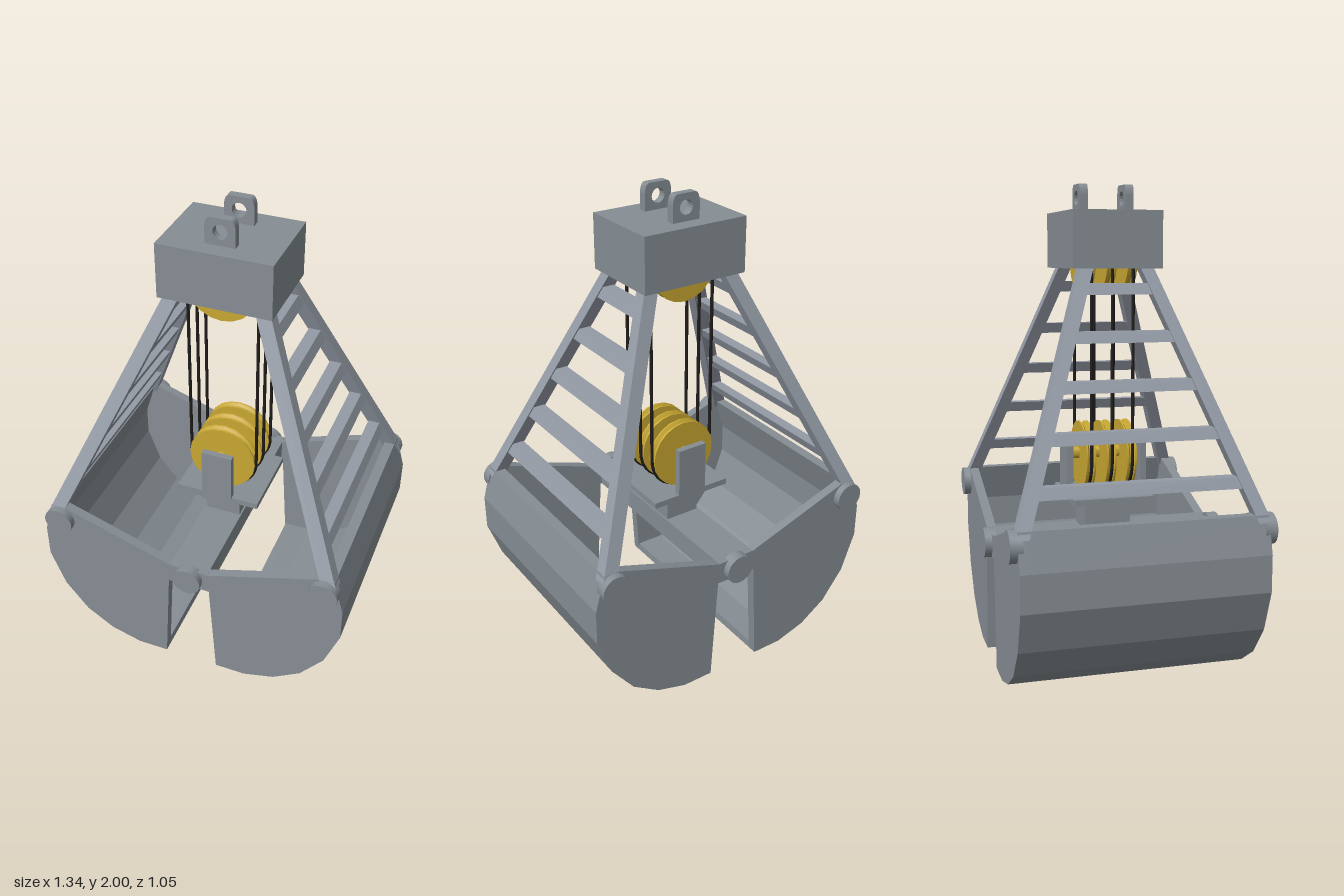
import * as THREE from 'three';
import { toCreasedNormals } from 'three/addons/utils/BufferGeometryUtils.js';

const paint = (name, color) => {
  const m = new THREE.MeshStandardMaterial({ color });
  m.name = name;
  return m;
};

export function createModel() {
  const steel = paint('steel grey', 0x868e94);
  const frame = paint('frame grey', 0x949ba6);
  const yellow = paint('sheave yellow', 0xc9a833);
  const black = paint('rope black', 0x1f1c1a);

  const model = new THREE.Group();
  model.name = 'clamshellGrab';

  const add = (name, geometry, material, x = 0, y = 0, z = 0, parent = model) => {
    const mesh = new THREE.Mesh(geometry, material);
    mesh.name = name;
    mesh.position.set(x, y, z);
    parent.add(mesh);
    return mesh;
  };
  const box = (name, w, h, d, material, x, y, z) =>
    add(name, new THREE.BoxGeometry(w, h, d), material, x, y, z);
  const shapeOf = (points) => new THREE.Shape(points.map(([x, y]) => new THREE.Vector2(x, y)));
  // Extrusion centred on its own z
  const slab = (shape, depth) =>
    new THREE.ExtrudeGeometry(shape, { depth, bevelEnabled: false, curveSegments: 8 })
      .translate(0, 0, -depth / 2);
  // Cylinder lying along z
  const rod = (r, length, sides = 20) =>
    toCreasedNormals(new THREE.CylinderGeometry(r, r, length, sides).rotateX(Math.PI / 2), 0.6);

  // Head block with two lifting lugs
  box('headBlock', 0.47, 0.23, 0.37, steel, 0, 1.775, 0);
  const lug = new THREE.Shape();
  lug.moveTo(-0.062, 1.88);
  lug.lineTo(0.062, 1.88);
  lug.lineTo(0.062, 1.96);
  lug.quadraticCurveTo(0.058, 2, 0.04, 2);
  lug.lineTo(-0.04, 2);
  lug.quadraticCurveTo(-0.058, 2, -0.062, 1.96);
  lug.closePath();
  lug.holes.push(new THREE.Path().absarc(0, 1.945, 0.03, 0, Math.PI * 2, true));
  for (const z of [-0.097, 0.097]) add('liftingLug', slab(lug, 0.035), steel, 0, 0, z);

  // Leaning legs and the rungs between them, with level cuts
  const legX = (y) => 0.597 - 0.436 * (y - 0.72);
  const legZ = (y) => 0.467 - 0.362 * (y - 0.72);
  const leaningBeam = (y0, y1, w, d, sx, sz) => {
    const g = new THREE.BoxGeometry(w, y1 - y0, d).translate(0, (y0 + y1) / 2, 0);
    const p = g.attributes.position;
    for (let i = 0; i < p.count; i++) {
      const y = p.getY(i);
      p.setX(i, p.getX(i) + sx * legX(y));
      p.setZ(i, p.getZ(i) + sz * legZ(y));
    }
    g.computeVertexNormals();
    return g;
  };
  for (const sx of [-1, 1]) {
    for (const sz of [-1, 1]) add('leg', leaningBeam(0.69, 1.7, 0.063, 0.055, sx, sz), frame);
    for (let i = 0; i < 5; i++) {
      const y = 0.84 + i * 0.185;
      add('rung', leaningBeam(y - 0.022, y + 0.022, 0.05, legZ(y) * 2, sx, 0), frame);
    }
  }

  // Two curved buckets: a faceted shell closed by side plates
  const outer = [[0.63, 0.72], [0.672, 0.57], [0.672, 0.42], [0.61, 0.25],
    [0.51, 0.12], [0.39, 0.04], [0.255, 0], [0.12, 0]];
  const inner = [[0.122, 0.035], [0.25, 0.035], [0.375, 0.073], [0.485, 0.148],
    [0.577, 0.265], [0.635, 0.425], [0.635, 0.56], [0.585, 0.72]];
  const plate = [...outer, [0.092, 0.465], [0.08, 0.465], [0.08, 0.557], [0.565, 0.72]];
  for (const s of [-1, 1]) {
    const bucket = new THREE.Group();
    bucket.name = s > 0 ? 'leftBucket' : 'rightBucket';
    model.add(bucket);
    const flip = (points) => shapeOf(points.map(([x, y]) => [s * x, y]));
    add('bucketShell', slab(flip([...outer, ...inner]), 0.91), steel, 0, 0, 0, bucket);
    for (const z of [-0.475, 0.475])
      add('bucketSidePlate', slab(flip(plate), 0.04), steel, 0, 0, z, bucket);
  }

  // Hinge beam, post and lower sheave carrier
  box('hingeBeam', 0.17, 0.095, 0.99, steel, 0, 0.5125, 0);
  box('centrePost', 0.156, 0.14, 0.2, steel, 0, 0.625, 0);
  box('carrierPlate', 0.37, 0.026, 0.34, steel, 0, 0.702, 0);
  for (const z of [-0.16, 0.16]) box('carrierCheek', 0.135, 0.22, 0.028, steel, 0, 0.82, z);

  // Round pin heads at the hinge and the leg feet
  for (const z of [-0.5, 0.5])
    for (const [x, y] of [[0, 0.515], [-0.59, 0.657], [0.59, 0.657]])
      add('pin', rod(0.063, 0.05), steel, x, y, z);

  // Grooved sheaves, axles and hoisting ropes
  const R = 0.148, lowY = 0.87, highY = 1.71;
  const rim = [[0, -0.02], [R, -0.02], [R, -0.013], [R - 0.013, -0.005],
    [R - 0.013, 0.005], [R, 0.013], [R, 0.02], [0, 0.02]];
  const sheave = toCreasedNormals(
    new THREE.LatheGeometry(rim.map(([r, h]) => new THREE.Vector2(r, h)), 20)
      .rotateX(Math.PI / 2), 0.5);
  for (const y of [lowY, highY]) {
    add('axle', rod(0.025, 0.3, 16), yellow, 0, y + 0.012, 0);
    for (const z of [-0.088, 0, 0.088]) add('sheave', sheave, yellow, 0, y, z);
  }
  for (const z of [-0.088, 0, 0.088]) {
    for (const x of [-R, R])
      add('rope', new THREE.CylinderGeometry(0.007, 0.007, highY - lowY, 8), black,
        x, (lowY + highY) / 2, z);
    add('ropeLoop', new THREE.TorusGeometry(R, 0.007, 8, 20, Math.PI).rotateZ(Math.PI),
      black, 0, lowY, z);
  }

  return model;
}
